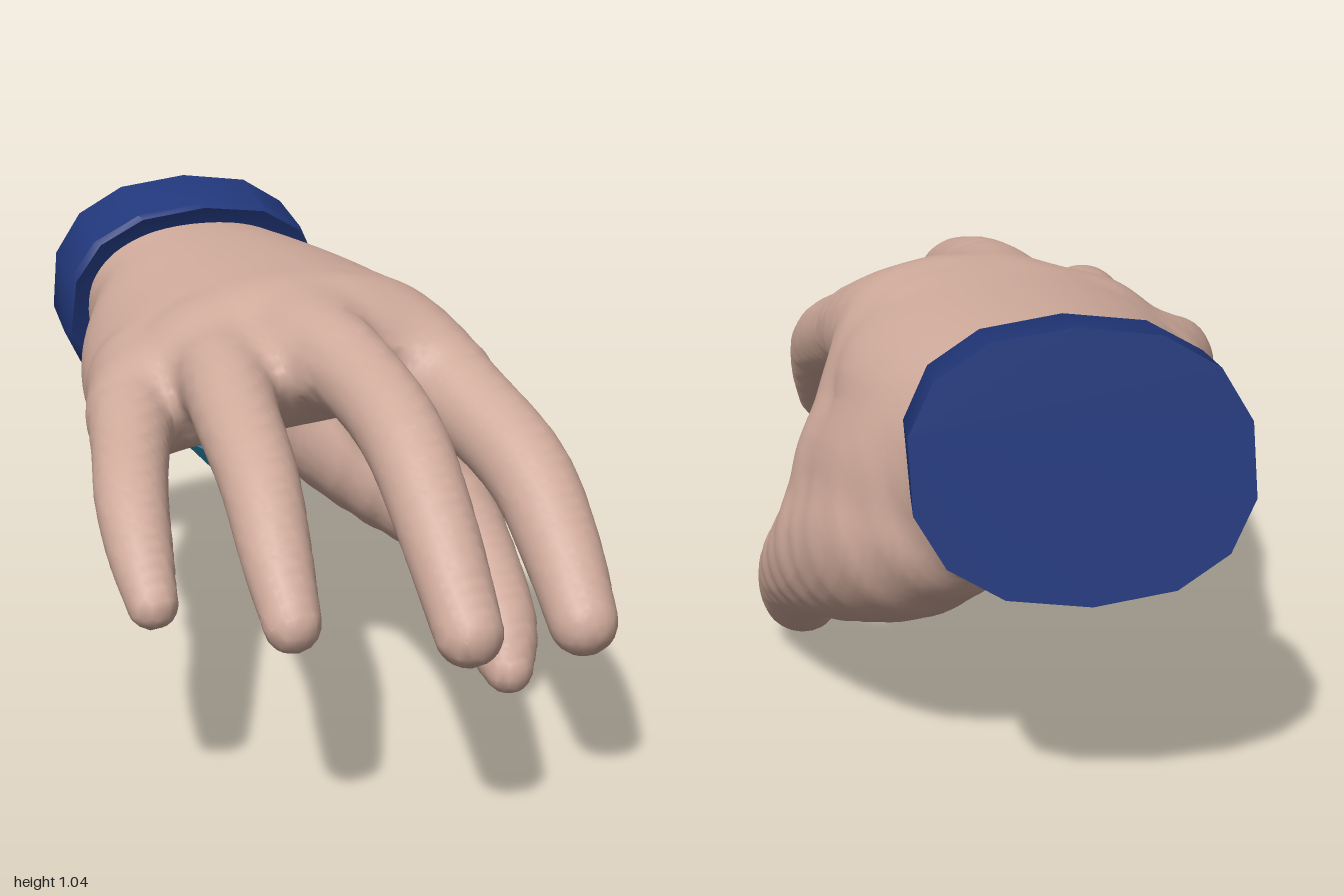
import * as THREE from 'three';
import { toCreasedNormals } from 'three/addons/utils/BufferGeometryUtils.js';

const skinMat = new THREE.MeshStandardMaterial({ color: 0xcfaa9b });
const cuffMat = new THREE.MeshStandardMaterial({ color: 0x22387c });
const gemMat = new THREE.MeshStandardMaterial({ color: 0x2b8aae, flatShading: true });

// Palm cross-sections: z, centre x, half width, centre y, half height, tilt, arch
const palm = [
  [-0.80, 0.165, 0.28, 0.77, 0.19, 0.00, 0.00],
  [-0.68, 0.150, 0.30, 0.755, 0.205, 0.00, 0.01],
  [-0.55, 0.115, 0.355, 0.74, 0.22, 0.02, 0.03],
  [-0.40, 0.090, 0.395, 0.75, 0.21, 0.03, 0.05],
  [-0.20, 0.050, 0.425, 0.775, 0.185, 0.04, 0.07],
  [-0.06, 0.020, 0.41, 0.80, 0.16, 0.05, 0.08],
  [0.04, 0.060, 0.33, 0.81, 0.145, 0.05, 0.07],
  [0.13, 0.080, 0.275, 0.805, 0.13, 0.02, 0.04],
  [0.20, 0.095, 0.225, 0.80, 0.10, 0.00, 0.02],
  [0.25, 0.100, 0.16, 0.79, 0.05, 0.00, 0.00],
];

// Fleshy limbs as points [x, y, z, radius]
const limbs = {
  littleFinger: [[-0.26, 0.72, -0.22, 0.09], [-0.36, 0.695, -0.05, 0.095], [-0.443, 0.655, 0.11, 0.083],
    [-0.51, 0.605, 0.25, 0.077], [-0.55, 0.53, 0.37, 0.067], [-0.572, 0.46, 0.462, 0.052]],
  ringFinger: [[-0.15, 0.79, -0.10, 0.10], [-0.21, 0.785, 0.10, 0.097], [-0.27, 0.75, 0.27, 0.09],
    [-0.33, 0.68, 0.47, 0.082], [-0.38, 0.57, 0.63, 0.071], [-0.405, 0.477, 0.73, 0.058]],
  middleFinger: [[0.02, 0.83, -0.05, 0.10], [0.00, 0.84, 0.16, 0.108], [-0.02, 0.82, 0.36, 0.092],
    [-0.055, 0.755, 0.58, 0.087], [-0.10, 0.62, 0.78, 0.079], [-0.132, 0.475, 0.935, 0.068]],
  indexFinger: [[0.23, 0.80, -0.08, 0.12], [0.265, 0.775, 0.12, 0.122], [0.275, 0.72, 0.33, 0.10],
    [0.273, 0.63, 0.56, 0.092], [0.24, 0.51, 0.73, 0.083], [0.205, 0.405, 0.855, 0.071]],
  thumb: [[0.27, 0.67, -0.64, 0.14], [0.37, 0.53, -0.44, 0.19], [0.43, 0.43, -0.25, 0.175],
    [0.485, 0.32, -0.06, 0.125], [0.483, 0.215, 0.10, 0.098], [0.447, 0.12, 0.23, 0.092], [0.42, 0.057, 0.31, 0.058]],
  thumbWeb: [[0.48, 0.40, -0.16, 0.10], [0.45, 0.52, -0.155, 0.11], [0.39, 0.63, -0.13, 0.12], [0.30, 0.74, -0.04, 0.12]],
  thumbSide: [[0.33, 0.72, -0.62, 0.11], [0.395, 0.66, -0.45, 0.12], [0.42, 0.62, -0.30, 0.12], [0.42, 0.58, -0.18, 0.12]],
  palmHeel: [[-0.02, 0.69, -0.64, 0.12], [-0.12, 0.67, -0.46, 0.125], [-0.21, 0.67, -0.28, 0.11], [-0.27, 0.69, -0.10, 0.09]],
};

// Smooth each limb into short tapered segments
const chains = Object.values(limbs).map(points => {
  const path = new THREE.CatmullRomCurve3(points.map(p => new THREE.Vector3(p[0], p[1], p[2])));
  const radius = new THREE.CatmullRomCurve3(points.map((p, i) => new THREE.Vector3(i, p[3], 0)));
  return Array.from({ length: 17 }, (_, i) => [...path.getPoint(i / 16), radius.getPoint(i / 16).y]);
});

const sections = new THREE.CubicInterpolant(palm.map(s => s[0]), palm.flatMap(s => s.slice(1)), 6);
function palmDistance(x, y, z) {
  const [xc, a, yc, b, tilt, arch] = sections.evaluate(z);
  const u = (x - xc) / a, w = THREE.MathUtils.clamp(u, -1.2, 1.2);
  const v = (y - yc - tilt * w + arch * w * w) / b;
  const d = ((Math.abs(u) ** 2.3 + Math.abs(v) ** 2.3) ** (1 / 2.3) - 1) * b;
  return Math.max(d, z - 0.25, -0.8 - z);
}

function limbDistance(chain, x, y, z) {
  let best = Infinity;
  for (let i = 0; i < chain.length - 1; i++) {
    const a = chain[i], b = chain[i + 1];
    const dx = b[0] - a[0], dy = b[1] - a[1], dz = b[2] - a[2];
    const px = x - a[0], py = y - a[1], pz = z - a[2];
    const t = Math.min(1, Math.max(0, (px * dx + py * dy + pz * dz) / (dx * dx + dy * dy + dz * dz)));
    const d = Math.sqrt((px - t * dx) ** 2 + (py - t * dy) ** 2 + (pz - t * dz) ** 2);
    best = Math.min(best, d - a[3] - t * (b[3] - a[3]));
  }
  return best;
}

// Distance to the whole hand, with soft blends where the limbs join
function handDistance(x, y, z) {
  const k = 0.055;
  return chains.reduce((d, chain) => {
    const e = limbDistance(chain, x, y, z);
    const h = Math.max(k - Math.abs(d - e), 0) / k;
    return Math.min(d, e) - h * h * k / 4;
  }, palmDistance(x, y, z));
}

function geometry(pos, idx) {
  const g = new THREE.BufferGeometry();
  g.setAttribute('position', new THREE.Float32BufferAttribute(pos, 3));
  g.setIndex(idx);
  g.computeVertexNormals();
  return g;
}

// One seamless skin over a distance function: a vertex per boundary cell, a quad per crossed edge
function skin(f, min, max, h) {
  const n = min.map((m, i) => Math.ceil((max[i] - m) / h) + 1);
  const stride = [1, n[0], n[0] * n[1]], total = n[0] * n[1] * n[2];
  const coords = c => [c % n[0], Math.floor(c / n[0]) % n[1], Math.floor(c / stride[2])];
  const at = c => coords(c).map((v, i) => min[i] + v * h);
  // Slide a point along the slope onto the surface
  const settle = p => {
    const d = f(...p), e = h / 4;
    const slope = p.map((_, i) => (f(...p.map((v, j) => v + (i === j ? e : 0))) - f(...p.map((v, j) => v - (i === j ? e : 0)))) / (2 * e));
    const steep = Math.max(0.2, slope.reduce((s, v) => s + v * v, 0));
    return p.map((v, i) => v - THREE.MathUtils.clamp(d * slope[i] / steep, -h / 3, h / 3));
  };
  const value = new Float32Array(total), vertex = new Int32Array(total).fill(-1);
  for (let c = 0; c < total; c++) value[c] = f(...at(c));
  const pos = [], idx = [];
  for (let c = 0; c < total; c++) {
    if (coords(c).some((v, i) => v >= n[i] - 1)) continue;
    const sum = [0, 0, 0];
    let hits = 0;
    for (let corner = 0; corner < 8; corner++) {
      const bits = [corner & 1, corner >> 1 & 1, corner >> 2];
      const p = c + bits[0] + bits[1] * stride[1] + bits[2] * stride[2];
      for (let d = 0; d < 3; d++) {
        const q = p + stride[d];
        if (bits[d] || value[p] < 0 === value[q] < 0) continue;
        const t = value[p] / (value[p] - value[q]);
        bits.forEach((b, i) => { sum[i] += b + (i === d ? t : 0); });
        hits++;
      }
    }
    if (!hits) continue;
    vertex[c] = pos.length / 3;
    pos.push(...settle(at(c).map((v, i) => v + sum[i] / hits * h)));
  }
  for (let c = 0; c < total; c++) {
    for (let d = 0; d < 3; d++) {
      const q = c + stride[d];
      if (q >= total || value[c] < 0 === value[q] < 0) continue;
      const s = stride[(d + 1) % 3], t = stride[(d + 2) % 3];
      const quad = [c - s - t, c - t, c, c - s].map(k => vertex[k]);
      if (value[c] >= 0) quad.reverse();
      idx.push(quad[0], quad[1], quad[2], quad[0], quad[2], quad[3]);
    }
  }
  return geometry(pos, idx);
}

// Slanted rounded rings joined into a closed band
const power = (v, p) => Math.sign(v) * Math.abs(v) ** p;
function band(rings, sides = 14) {
  const pos = [], idx = [], last = rings.length - 1;
  rings.forEach(([xc, yc, zc, a, b, slopeX, slopeY]) => {
    for (let j = 0; j < sides; j++) {
      const t = (j + 0.5) / sides * Math.PI * 2;
      const dx = a * power(Math.cos(t), 0.85), dy = b * power(Math.sin(t), 0.85);
      pos.push(xc + dx, yc + dy, zc + slopeX * dx + slopeY * dy);
    }
  });
  for (let j = 0; j < sides; j++) {
    const k = (j + 1) % sides;
    for (let i = 0; i < last; i++) {
      const a = i * sides + j, b = i * sides + k;
      idx.push(a, b, b + sides, a, b + sides, a + sides);
    }
    if (j > 0 && k > 0) idx.push(0, k, j, last * sides, last * sides + j, last * sides + k);
  }
  return toCreasedNormals(geometry(pos, idx), 0.6);
}

export function createModel() {
  const model = new THREE.Group();
  const add = (name, shape, material) => {
    const m = new THREE.Mesh(shape, material);
    m.name = name;
    model.add(m);
    return m;
  };
  // Palm, fingers and thumb under one skin
  add('hand', skin(handDistance, [-0.68, -0.05, -0.86], [0.70, 1.04, 1.06], 0.022), skinMat);
  // Cuff: flat closed back, bevelled front rim
  add('cuff', band([
    [0.20, 0.785, -0.915, 0.325, 0.26, 0.21, 0.18],
    [0.147, 0.762, -0.73, 0.33, 0.25, 0.17, 0.27],
    [0.147, 0.762, -0.715, 0.318, 0.24, 0.17, 0.27],
    [0.147, 0.762, -0.725, 0.27, 0.20, 0.17, 0.27],
  ]), cuffMat);
  // Faceted gem set into the palm
  const gem = add('gem', new THREE.IcosahedronGeometry(1, 0), gemMat);
  gem.scale.set(0.105, 0.08, 0.16);
  gem.rotation.set(0.1, 0.2, 0.1);
  gem.position.set(0.035, 0.51, -0.33);
  return model;
}
